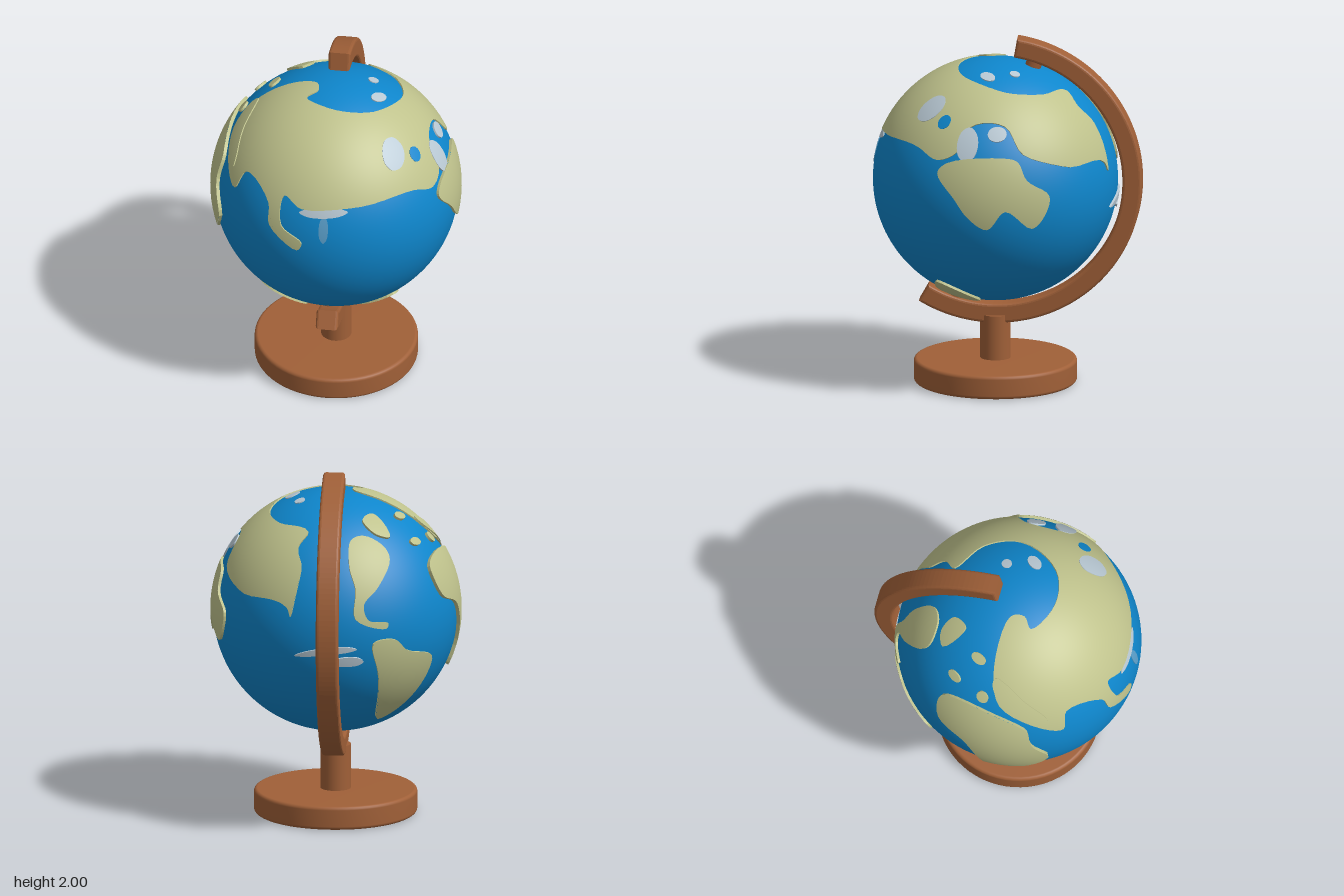
import * as THREE from 'three';

const R = 0.69, CY = 1.175, CZ = 0.06;
const rad = THREE.MathUtils.degToRad;
const mat = (name, color) => {
  const m = new THREE.MeshStandardMaterial({ color });
  m.name = name;
  return m;
};

// Flat charts used to lay out coastlines: centre, radius, azimuth, elevation
const CHARTS = {
  front: [238, 193, 130.5, 0, 0],
  side: [674, 193, 130.5, 90, 0],
  polar: [1134, 241, 167.5, 0, 90],
  back: [692, 644, 118, 215, 22],
};

// Chart points -> unit directions on the globe
function onGlobe(chart, coords) {
  const [cx, cy, r, azimuth, elevation] = CHARTS[chart];
  const az = rad(azimuth), el = rad(elevation);
  const d = new THREE.Vector3(Math.sin(az) * Math.cos(el), Math.sin(el), Math.cos(az) * Math.cos(el));
  const right = new THREE.Vector3(Math.cos(az), 0, -Math.sin(az));
  const up = new THREE.Vector3().crossVectors(d, right);
  const out = [];
  for (let i = 0; i < coords.length; i += 2) {
    const u = (coords[i] - cx) / r, v = (cy - coords[i + 1]) / r;
    const w = Math.sqrt(Math.max(0, 1 - u * u - v * v));
    out.push(new THREE.Vector3().addScaledVector(right, u).addScaledVector(up, v).addScaledVector(d, w).normalize());
  }
  return out;
}

// Small oval outline on a chart
function oval(chart, x, y, rx, ry, turn = 0) {
  const coords = [], c = Math.cos(rad(turn)), s = Math.sin(rad(turn));
  for (let i = 0; i < 8; i++) {
    const a = (i * Math.PI) / 4, px = rx * Math.cos(a), py = ry * Math.sin(a);
    coords.push(x + px * c - py * s, y + px * s + py * c);
  }
  return onGlobe(chart, coords);
}

// Raised patch on the sphere bounded by a smooth closed coastline
function patch(dirs, height) {
  const c = dirs.reduce((s, p) => s.add(p), new THREE.Vector3()).normalize();
  const e1 = new THREE.Vector3(0, 1, 0).cross(c).normalize();
  const e2 = new THREE.Vector3().crossVectors(c, e1);
  // equidistant map around the patch centre
  const flat = dirs.map((p) => {
    const a = c.angleTo(p), x = p.dot(e1), y = p.dot(e2), l = Math.hypot(x, y) || 1;
    return new THREE.Vector3((x / l) * a, (y / l) * a, 0);
  });
  const curve = new THREE.CatmullRomCurve3(flat, true, 'centripetal');
  let line = curve.getPoints(flat.length * 5).slice(0, -1).map((p) => new THREE.Vector2(p.x, p.y));
  if (THREE.ShapeUtils.isClockWise(line)) line = line.reverse();
  const lift = (p) => {
    const a = p.length(), k = a ? Math.sin(a) / a : 1;
    return c.clone().multiplyScalar(Math.cos(a)).addScaledVector(e1, p.x * k).addScaledVector(e2, p.y * k);
  };
  const pos = [], nor = [];
  const put = (dir, radius, n) => {
    pos.push(dir.x * radius, dir.y * radius, dir.z * radius);
    nor.push(n.x, n.y, n.z);
  };
  // top surface: halve long edges so it follows the sphere
  const split = (a, b, d) => {
    const ab = a.distanceTo(b), bd = b.distanceTo(d), da = d.distanceTo(a);
    const m = Math.max(ab, bd, da);
    if (m < 0.085) {
      for (const p of [a, b, d]) { const q = lift(p); put(q, R + height, q); }
    } else if (m === ab) {
      const h = a.clone().lerp(b, 0.5); split(a, h, d); split(h, b, d);
    } else if (m === bd) {
      const h = b.clone().lerp(d, 0.5); split(a, b, h); split(a, h, d);
    } else {
      const h = d.clone().lerp(a, 0.5); split(a, b, h); split(h, b, d);
    }
  };
  for (const [i, j, k] of THREE.ShapeUtils.triangulateShape(line, [])) split(line[i], line[j], line[k]);
  // coast wall
  line.forEach((p, i) => {
    const a = lift(p), b = lift(line[(i + 1) % line.length]);
    const n = b.clone().sub(a).cross(a).normalize();
    const top = R + height, low = R - 0.01;
    for (const [q, r] of [[a, low], [b, low], [b, top], [a, low], [b, top], [a, top]]) put(q, r, n);
  });
  const g = new THREE.BufferGeometry();
  g.setAttribute('position', new THREE.Float32BufferAttribute(pos, 3));
  g.setAttribute('normal', new THREE.Float32BufferAttribute(nor, 3));
  return g;
}

export function createModel() {
  const ocean = mat('ocean blue', 0x0e86cc);
  const land = mat('land green', 0xbfc28c);
  const ice = mat('pale grey', 0xb9c9d4);
  const shallow = mat('shallow blue', 0x5a9fca);
  const wood = mat('wood brown', 0xa06038);

  const model = new THREE.Group();
  model.name = 'deskGlobe';
  const add = (parent, name, geometry, material) => {
    const m = new THREE.Mesh(geometry, material);
    m.name = name;
    parent.add(m);
    return m;
  };

  // Globe ball
  const globe = new THREE.Group();
  globe.name = 'globe';
  globe.position.set(0, CY, CZ);
  model.add(globe);
  add(globe, 'oceanBall', new THREE.SphereGeometry(R, 96, 64), ocean);
  const raise = (name, height, material, ...outline) => add(globe, name, patch(outline.flat(), height), material);

  // Northern continent: polar shore, front shore, side shore
  raise('northernContinent', 0.008, land,
    onGlobe('polar', [1186, 84, 1172, 104, 1178, 125, 1165, 142, 1205, 172, 1222, 220, 1190, 278, 1140, 290,
      1097, 268, 1111, 255, 1106, 237, 1040, 232, 1000, 250]),
    onGlobe('front', [130, 140, 140, 152, 152, 130, 180, 145, 182, 168, 213, 189, 218, 180, 195, 164,
      197, 133, 217, 142, 280, 138, 330, 138]),
    onGlobe('side', [620, 147, 641, 138, 655, 113, 692, 112, 712, 139, 760, 157, 793, 163]));

  // Other continents
  raise('eastContinent', 0.016, land, onGlobe('side', [622, 160, 632, 149, 690, 142, 706, 146, 716, 165, 739, 183,
    733, 206, 721, 217, 694, 197, 675, 217, 655, 205, 640, 185]));
  raise('westContinent', 0.02, land, onGlobe('back', [738, 628, 758, 612, 795, 611]),
    onGlobe('front', [119, 165, 124, 200, 118, 253]), onGlobe('back', [783, 695, 774, 664, 748, 656]));
  raise('backUpperContinent', 0.014, land, onGlobe('back', [663, 592, 677, 590, 692, 604, 693, 617, 673, 642, 657, 656,
    660, 671, 679, 676, 677, 681, 648, 668, 652, 640, 652, 618]));
  raise('backLowerContinent', 0.014, land, onGlobe('back', [664, 693, 686, 692, 700, 703, 733, 710, 730, 728, 708, 752,
    693, 757, 672, 720]));
  raise('southLandRight', 0.014, land, onGlobe('side', [617, 289, 640, 298, 662, 313, 624, 310]));
  raise('southLandLeft', 0.014, land, onGlobe('front', [163, 291, 180, 289, 215, 303, 205, 313, 176, 313]));

  // Islands
  raise('arcticIsland', 0.014, land, onGlobe('back', [684, 574, 699, 569, 703, 595, 689, 590]));
  raise('peninsula', 0.014, land, oval('back', 775, 588, 26, 6, 27));
  raise('island', 0.014, land, oval('back', 730, 574, 7, 4));
  raise('island', 0.014, land, oval('back', 732, 602, 7, 4));
  raise('island', 0.014, land, oval('back', 760, 598, 6, 4, 45));

  // Pale and blue details
  raise('paleLake', 0.011, ice, oval('side', 612, 102, 18, 7, -38));
  raise('paleCoast', 0.01, ice, oval('side', 653, 130, 11, 17, 10));
  raise('paleCoast', 0.01, ice, oval('side', 684, 119, 10, 7));
  raise('paleBay', 0.005, ice, oval('front', 240, 144, 26, 5, -4));
  raise('paleIsle', 0.006, ice, oval('polar', 1181, 211, 7, 7));
  raise('paleIsle', 0.006, ice, oval('polar', 1193, 247, 12, 8, -50));
  raise('paleStrip', 0.012, ice, oval('back', 625, 692, 24, 3, 8));
  raise('paleStrip', 0.012, ice, oval('back', 642, 705, 14, 4, 10));
  raise('shallowBay', 0.004, shallow, oval('front', 241, 162, 5, 15));
  raise('lake', 0.011, ocean, oval('side', 627, 111, 8, 5, -40));

  // Pivot pins on the tilted axis
  const tilt = rad(18);
  for (const s of [1, -1]) {
    const pin = add(globe, s > 0 ? 'topPin' : 'bottomPin', new THREE.CylinderGeometry(0.045, 0.045, 0.1, 24), wood);
    pin.position.set(0, s * 0.71 * Math.cos(tilt), -s * 0.71 * Math.sin(tilt));
    pin.rotation.x = -tilt;
  }

  // Curved arm behind the globe
  const bevel = 0.016, depth = 0.125 - 2 * bevel, a0 = rad(99.8), a1 = rad(300);
  const arc = new THREE.Shape();
  arc.absarc(0, 0, 0.83 - bevel, a0, a1, false);
  arc.absarc(0, 0, 0.72 + bevel, a1, a0, true);
  const armGeo = new THREE.ExtrudeGeometry(arc, {
    depth, bevelEnabled: true, bevelSize: bevel, bevelThickness: bevel, bevelSegments: 3, curveSegments: 48,
  });
  armGeo.translate(0, 0, -depth / 2).rotateY(-Math.PI / 2);
  add(model, 'arm', armGeo, wood).position.set(0, CY, CZ);

  // Post and round foot
  add(model, 'post', new THREE.CylinderGeometry(0.086, 0.086, 0.28, 40), wood).position.set(0, 0.25, CZ);
  const profile = [new THREE.Vector2(0, 0)];
  for (const [y, start] of [[0.02, -90], [0.115, 0]]) {
    for (let i = 0; i <= 4; i++) {
      const a = rad(start + i * 22.5);
      profile.push(new THREE.Vector2(0.44 + 0.02 * Math.cos(a), y + 0.02 * Math.sin(a)));
    }
  }
  profile.push(new THREE.Vector2(0, 0.135));
  add(model, 'foot', new THREE.LatheGeometry(profile, 64), wood).position.z = CZ;

  return model;
}
